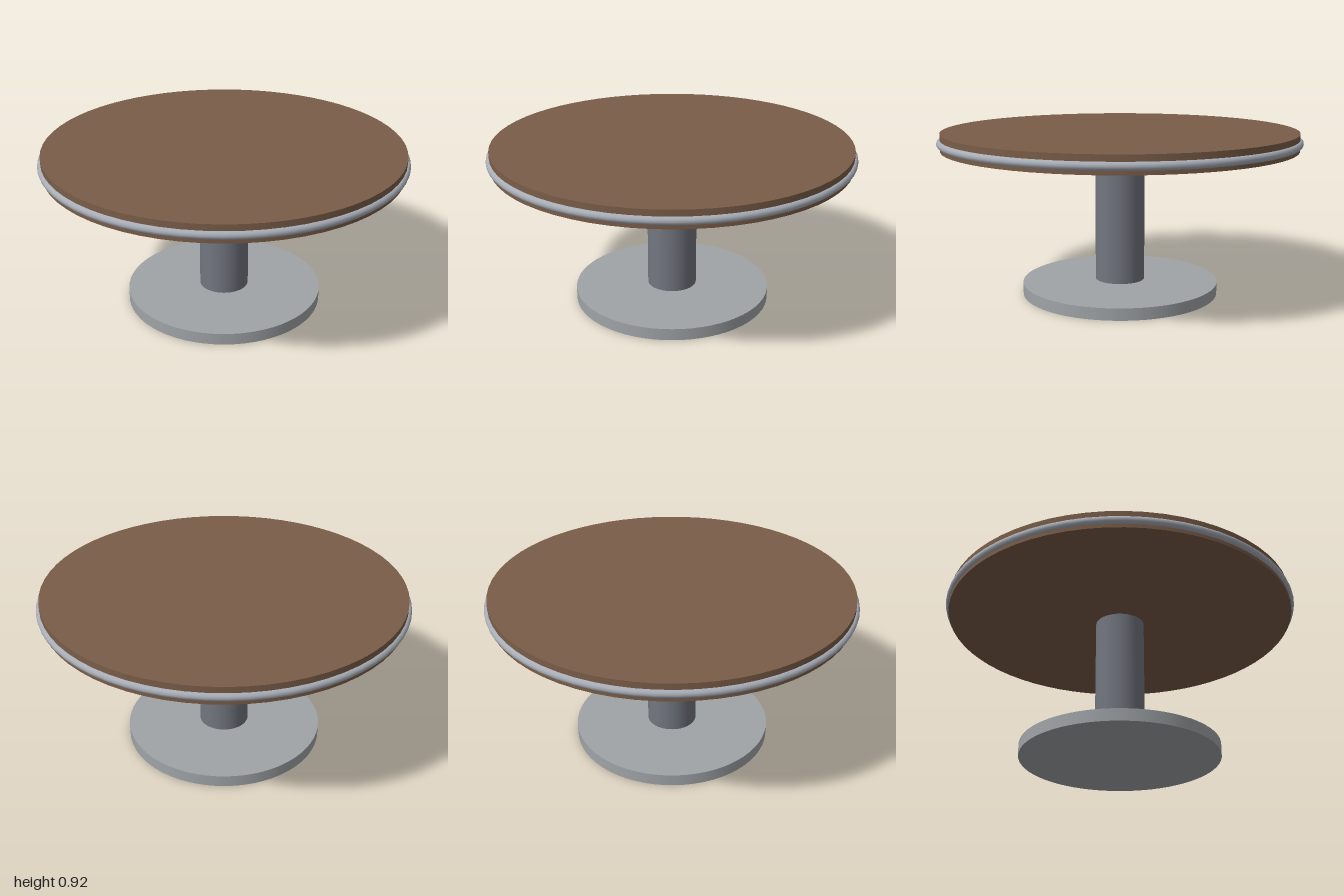
import * as THREE from 'three';

const material = (name, color) => {
  const m = new THREE.MeshStandardMaterial({ color });
  m.name = name;
  return m;
};

export function createModel() {
  const group = new THREE.Group();
  group.name = 'roundTable';

  const wood = material('brown wood', 0x7a5d48);
  const baseMetal = material('pale grey metal', 0xa0a4a7);
  const columnMetal = material('dark grey metal', 0x72767f);
  const rimMetal = material('silver trim', 0xa8adb6);

  // Upright disc or column between two heights
  const disc = (name, radius, y0, y1, mat, sides) => {
    const mesh = new THREE.Mesh(new THREE.CylinderGeometry(radius, radius, y1 - y0, sides), mat);
    mesh.name = name;
    mesh.position.y = (y0 + y1) / 2;
    group.add(mesh);
  };

  disc('base', 0.55, 0, 0.066, baseMetal, 64);
  disc('pedestal', 0.138, 0.075, 0.83, columnMetal, 48);
  disc('tableTop', 0.982, 0.827, 0.922, wood, 64);

  // Rounded metal band around the table edge
  const rim = new THREE.Mesh(new THREE.TorusGeometry(0.978, 0.022, 12, 64), rimMetal);
  rim.name = 'edgeTrim';
  rim.rotation.x = Math.PI / 2;
  rim.position.y = 0.868;
  group.add(rim);

  return group;
}
